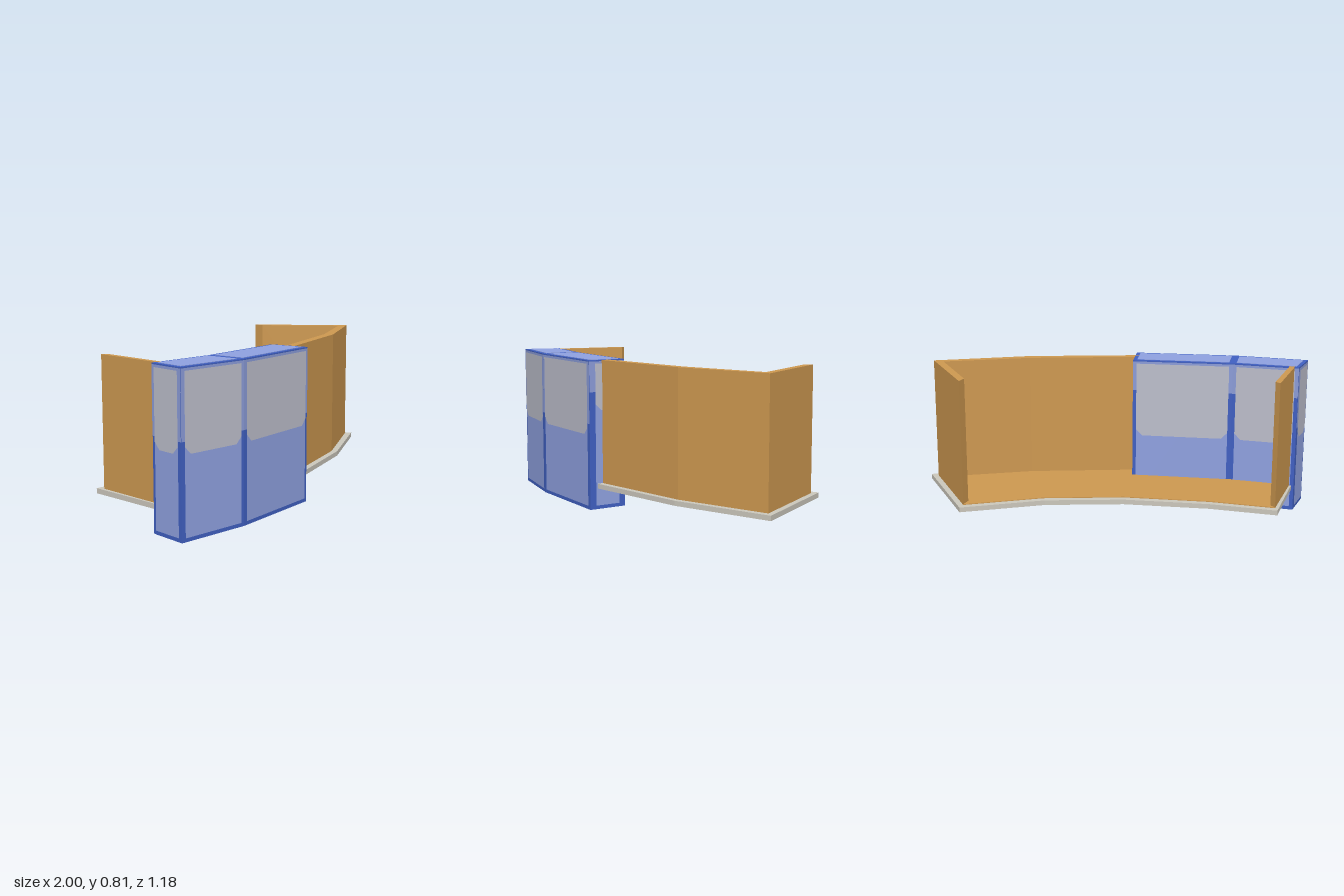
import * as THREE from 'three';

const mat = (name, color, side = THREE.FrontSide) => {
  const m = new THREE.MeshStandardMaterial({ color, side });
  m.name = name;
  return m;
};

export function createModel() {
  const group = new THREE.Group();
  const wood = mat('wood', 0xcd9850);
  const stone = mat('stone', 0xcbc7bc);
  const frameBlue = mat('frame blue', 0x4060c2);
  const paleFrame = mat('pale frame blue', 0x8b9cd8);
  const paneBlue = mat('pane blue', 0x8fa1e0);
  const paneGrey = mat('pane grey', 0xbcbecb);

  const add = (parent, name, geometry, material) => {
    const mesh = new THREE.Mesh(geometry, material);
    mesh.name = name;
    parent.add(mesh);
    return mesh;
  };
  const shapeOf = pts => new THREE.Shape(pts.map(([x, y]) => new THREE.Vector2(x, y)));

  // Upright prism over a plan outline of [x, z] points
  const prism = (parent, name, plan, y0, y1, material) => {
    const geo = new THREE.ExtrudeGeometry(shapeOf(plan.map(([x, z]) => [x, -z])),
      { depth: y1 - y0, bevelEnabled: false });
    geo.rotateX(-Math.PI / 2).translate(0, y0, 0);
    return add(parent, name, geo, material);
  };

  // Curved counter base and the floor on it
  prism(group, 'baseSlab', [
    [-0.99, -0.07], [-0.63, -0.09], [-0.18, -0.175], [0.21, -0.33], [0.585, -0.59],
    [1, -0.12], [0.52, 0.185], [-0.03, 0.413], [-0.07, 0.425], [-0.6, 0.48], [-0.975, 0.42],
  ], 0.115, 0.141, stone);
  prism(group, 'floor', [
    [-0.97, -0.035], [-0.62, -0.055], [-0.17, -0.14], [0.23, -0.3], [0.585, -0.545],
    [0.95, -0.13], [0.5, 0.16], [-0.05, 0.385], [-0.6, 0.45], [-0.965, 0.4],
  ], 0.14, 0.145, wood);

  // Front wall running round the far end, and the short end wall
  prism(group, 'frontWall', [
    [0.585, -0.545], [0.95, -0.13], [0.5, 0.16], [-0.05, 0.385], [-0.075, 0.393],
    [-0.075, 0.345], [0.475, 0.115], [0.885, -0.14], [0.585, -0.485],
  ], 0.14, 0.81, wood);
  prism(group, 'endWall', [[-0.97, -0.035], [-0.94, -0.01], [-0.935, 0.4], [-0.965, 0.4]],
    0.14, 0.81, wood);

  // Two-bay display case
  const H = 0.81;
  const displayCase = new THREE.Group();
  displayCase.name = 'displayCase';
  group.add(displayCase);
  const front = [[-1, 0.583], [-0.597, 0.572], [-0.04, 0.462]];
  const back = [[-0.99, 0.372], [-0.63, 0.355], [-0.087, 0.252]];
  prism(displayCase, 'caseBody', [...front, ...[...back].reverse()], 0, H, frameBlue);

  // Thin plates on one upright side: pale upper frame, pane and grey upper pane
  const side = (name, a, b, frameSplit, paneSplit, margin) => {
    const dir = new THREE.Vector3(b[0] - a[0], 0, b[1] - a[1]);
    const len = dir.length();
    dir.normalize();
    const up = new THREE.Vector3(0, 1, 0);
    const out = new THREE.Vector3().crossVectors(dir, up);
    const plate = (part, pts, offset, material) => {
      const geo = new THREE.ShapeGeometry(shapeOf(pts));
      geo.applyMatrix4(new THREE.Matrix4().makeBasis(dir, up, out)
        .setPosition(a[0] + out.x * offset, 0, a[1] + out.z * offset));
      add(displayCase, name + part, geo, material);
    };
    const m = margin, r = len - margin, top = H - 0.018, c = 0.035, s = paneSplit;
    plate('UpperFrame', [[0, frameSplit], [len, frameSplit], [len, H - 0.006], [0, H - 0.006]],
      0.0015, paleFrame);
    plate('Pane', [[m, 0.02], [r, 0.02], [r, top], [m, top]], 0.003, paneBlue);
    plate('UpperPane', [[m + c, s], [r - c, s], [r, s + c], [r, top], [m, top], [m, s + c]],
      0.0045, paneGrey);
  };
  for (let i = 0; i < 2; i++) {
    side('front' + i, front[i], front[i + 1], 0.47, 0.41, 0.02);
    side('back' + i, back[i + 1], back[i], 0.64, 0.38, 0.02);
  }
  side('leftEnd', front[2], back[2], 0.64, 0.54, 0.035);
  side('rightEnd', back[0], front[0], 0.47, 0.41, 0.02);

  // Panes on the top and underside of each bay
  const lerp = (p, q, t) => [p[0] + (q[0] - p[0]) * t, p[1] + (q[1] - p[1]) * t];
  for (let i = 0; i < 2; i++) {
    const t = i ? 0.04 : 0.05;
    const at = (u, v) => lerp(lerp(front[i], front[i + 1], u), lerp(back[i], back[i + 1], u), v);
    const plan = [at(t, 0.1), at(1 - t, 0.1), at(1 - t, 0.9), at(t, 0.9)];
    prism(displayCase, 'topPane' + i, plan, H - 0.002, H + 0.002, paneBlue);
    prism(displayCase, 'bottomPane' + i, plan, -0.001, 0.003, paneBlue);
  }
  return group;
}
